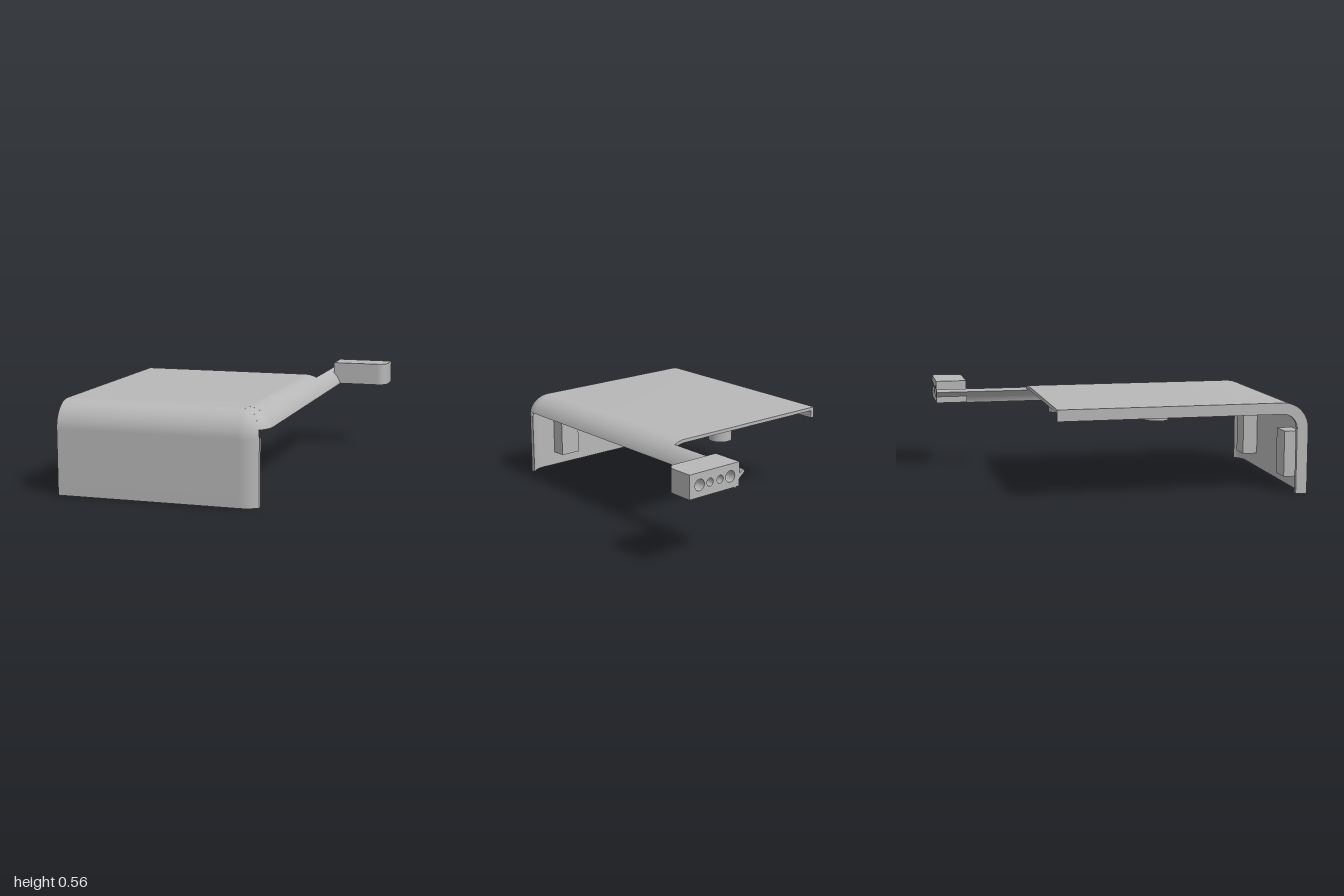
import * as THREE from 'three';
import { toCreasedNormals } from 'three/addons/utils/BufferGeometryUtils.js';

export function createModel() {
  const model = new THREE.Group();
  const grey = new THREE.MeshStandardMaterial({ color: 0xb8b8b8, side: THREE.DoubleSide });
  grey.name = 'plain grey';

  // Shared dimensions: bend radius, sheet thickness, bend centre and outer limits
  const R = 0.15, T = 0.02, TOP = 0.525;
  const CX = 0.3, CY = TOP - R, CZ = 0.85;
  const LEFT = -0.745, BACK = -0.44, RIM = 0.42, CUT = 0.4;
  const HALF = Math.PI / 2;

  const add = (name, geometry) => {
    const mesh = new THREE.Mesh(toCreasedNormals(geometry, 0.5), grey);
    mesh.name = name;
    model.add(mesh);
    return mesh;
  };
  const extrude = (shape, depth) =>
    new THREE.ExtrudeGeometry(shape, { depth, bevelEnabled: false, curveSegments: 20 });
  const alongX = (shape, x0, x1) => extrude(shape, x1 - x0).rotateY(-HALF).translate(x1, 0, 0);
  const alongY = (shape, y0, y1) => extrude(shape, y1 - y0).rotateX(HALF).translate(0, y1, 0);
  const alongZ = (shape, z0, z1) => extrude(shape, z1 - z0).translate(0, 0, z0);

  // Side profile (z, y): top plate bending down into the front panel
  const bentProfile = (t) => {
    const s = new THREE.Shape();
    s.moveTo(BACK, TOP);
    s.lineTo(CZ, TOP);
    s.absarc(CZ, CY, R, HALF, 0, true);
    s.lineTo(CZ + R, 0);
    s.lineTo(CZ + R - t, 0);
    s.lineTo(CZ + R - t, CY);
    s.absarc(CZ, CY, R - t, 0, HALF, false);
    s.lineTo(BACK, TOP - t);
    return s;
  };
  // Curved strip between two angles
  const arcStrip = (a0, a1) => {
    const s = new THREE.Shape();
    s.absarc(CX, CY, R, a0, a1, true);
    s.absarc(CX, CY, R - T, a1, a0, false);
    return s;
  };

  // Sheet and its deeper lip on the open side
  add('bentCover', alongX(bentProfile(T), LEFT, CX));
  add('sideLip', alongX(bentProfile(0.065), LEFT, LEFT + 0.024));

  // Rounded long edge, continued backwards as a narrow arm
  const rimAngle = Math.asin((RIM - CY) / R);
  add('roundedEdge', alongZ(arcStrip(HALF, rimAngle), BACK, CZ));
  add('arm', alongZ(arcStrip(Math.acos(0.07 / R), rimAngle), -1, BACK));

  // Spherical corner: full depth above the front panel, shorter above the side rim
  const cutAngle = Math.asin((CUT - CX) / R);
  const corner = (name, lowAngle, phi0, phi1) => {
    const pts = [], n = 16;
    for (const [r, from, to] of [[R, lowAngle, HALF], [R - T, HALF, lowAngle]]) {
      for (let i = 0; i <= n; i++) {
        const a = from + (to - from) * i / n;
        pts.push(new THREE.Vector2(Math.max(0, r * Math.cos(a)), r * Math.sin(a)));
      }
    }
    pts.push(pts[0].clone());
    add(name, new THREE.LatheGeometry(pts, 14, phi0, phi1 - phi0).translate(CX, CY, CZ));
  };
  corner('frontCorner', 0, 0, cutAngle);
  corner('sideCorner', rimAngle, cutAngle, HALF);

  // Curved end of the front panel, cut off flat
  const inner = R - T, dx = CUT - CX;
  const innerEnd = Math.acos(dx / inner);
  const end = new THREE.Shape();
  end.absarc(CX, CZ, R, HALF, Math.acos(dx / R), true);
  end.absarc(CX, CZ, inner, innerEnd, HALF, false);
  add('frontPanelEnd', alongY(end, 0, CY));

  // Connector block: rounded nose plus a back half with four blind holes
  const bx0 = 0.4, bx1 = 0.745, by1 = 0.555, split = -0.9, nose = -0.815, r = 0.06;
  const plan = new THREE.Shape();
  plan.moveTo(bx0, split);
  plan.lineTo(bx1, split);
  plan.lineTo(bx1, nose - r);
  plan.absarc(bx1 - r, nose - r, r, 0, HALF, false);
  plan.lineTo(bx0, nose);
  add('blockNose', alongY(plan, RIM, by1));

  const face = new THREE.Shape();
  face.moveTo(bx0, RIM);
  face.lineTo(bx1, RIM);
  face.lineTo(bx1, by1);
  face.lineTo(bx0, by1);
  for (const [x, radius] of [[0.464, 0.032], [0.535, 0.022], [0.605, 0.022], [0.676, 0.032]]) {
    const hole = new THREE.Path();
    hole.absarc(x, 0.487, radius, 0, Math.PI * 2, true);
    face.holes.push(hole);
  }
  add('blockBack', alongZ(face, -1, split));

  // Round pegs under the top plate
  for (const [x, z] of [[0.29, 0.19], [-0.09, -0.31], [-0.52, 0.17]]) {
    add('peg', new THREE.CylinderGeometry(0.068, 0.068, 0.09, 32)).position.set(x, 0.465, z);
  }
  // Upright pads inside the front panel
  for (const x of [0.142, -0.6]) {
    add('pad', new THREE.BoxGeometry(0.13, 0.265, 0.095)).position.set(x, 0.2175, 0.9375);
  }
  return model;
}
